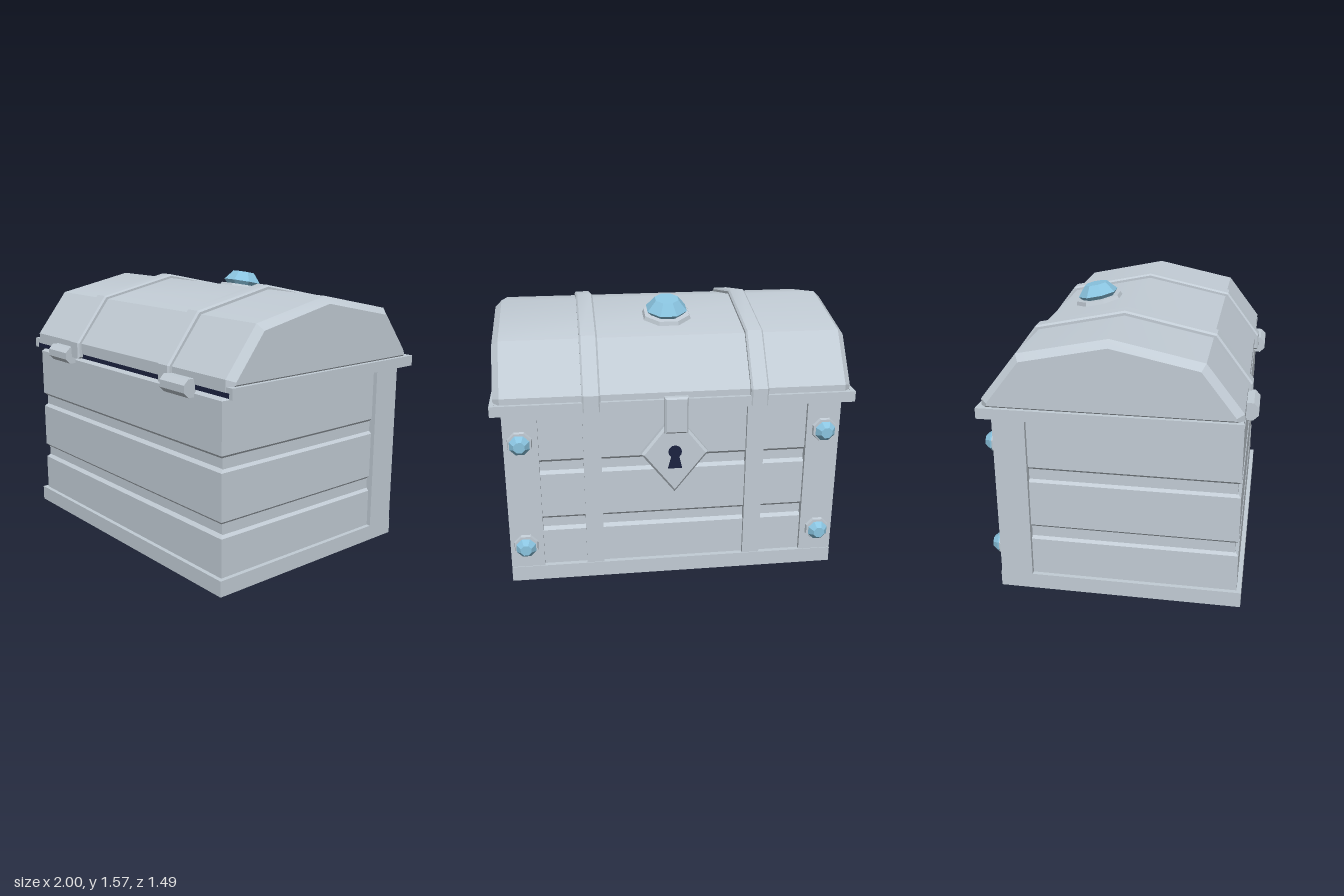
import * as THREE from 'three';
import { toCreasedNormals } from 'three/addons/utils/BufferGeometryUtils.js';

export function createModel() {
  const model = new THREE.Group();
  model.name = 'chest';
  const mat = (name, color) => {
    const m = new THREE.MeshStandardMaterial({ color });
    m.name = name;
    return m;
  };
  const steel = mat('pale steel', 0xc2ccd5);
  const blue = mat('gem blue', 0x8ac4e0);
  const dark = mat('dark navy', 0x1b2240);

  const add = (name, geo, material = steel, parent = model) => {
    const mesh = new THREE.Mesh(toCreasedNormals(geo, 0.45), material);
    mesh.name = name;
    parent.add(mesh);
    return mesh;
  };
  // Box given by its limits on each axis
  const box = (name, x0, x1, y0, y1, z0, z1, material) => {
    const g = new THREE.BoxGeometry(x1 - x0, y1 - y0, z1 - z0);
    g.translate((x0 + x1) / 2, (y0 + y1) / 2, (z0 + z1) / 2);
    return add(name, g, material);
  };
  const polygon = (pts) => new THREE.Shape(pts.map(([x, y]) => new THREE.Vector2(x, y)));
  // Extrusion centred on its depth, with chamfered edges inside the outline
  const slab = (pts, depth, size, thick = size) => {
    const g = new THREE.ExtrudeGeometry(polygon(pts), {
      depth: depth - 2 * thick, bevelEnabled: true, bevelSegments: 1,
      bevelSize: size, bevelThickness: thick, bevelOffset: -size,
    });
    return g.translate(0, 0, -(depth - 2 * thick) / 2);
  };

  // Body: base, core and three chamfered plank courses
  box('base', -0.945, 0.945, 0, 0.09, -0.665, 0.70);
  box('bodyCore', -0.905, 0.905, 0.08, 1.05, -0.62, 0.657);
  for (const [y0, y1] of [[0.07, 0.325], [0.38, 0.68], [0.735, 1.055]]) {
    const g = slab([[-0.92, -0.675], [0.92, -0.675], [0.92, 0.638], [-0.92, 0.638]], y1 - y0, 0.018);
    g.rotateX(-Math.PI / 2).translate(0, (y0 + y1) / 2, 0);
    add('plankCourse', g);
  }

  // Gem on an octagonal setting, its axis along +y
  const jewel = (name, ringR, ringH, profile) => {
    const group = new THREE.Group();
    group.name = name;
    const ring = new THREE.CylinderGeometry(ringR * 0.94, ringR, ringH, 8);
    add('setting', ring.rotateY(Math.PI / 8).translate(0, ringH / 2, 0), steel, group);
    const gem = new THREE.LatheGeometry(profile.map(([r, y]) => new THREE.Vector2(r, y)), 8);
    add('gem', gem.rotateY(Math.PI / 8), blue, group);
    model.add(group);
    return group;
  };

  for (const s of [-1, 1]) {
    // Corner posts and upright straps on the back
    const [a, b] = s < 0 ? [-0.945, -0.755] : [0.755, 0.945];
    box('cornerPost', a, b, 0.09, 1.055, -0.66, -0.48);
    box('uprightStrap', s * 0.46 - 0.05, s * 0.46 + 0.05, 0.09, 1.055, -0.66, -0.6);
    for (const y of [0.23, 0.87]) {
      const j = jewel('cornerJewel', 0.073, 0.018,
        [[0.045, 0.01], [0.06, 0.03], [0.033, 0.063], [0, 0.063]]);
      j.rotation.x = -Math.PI / 2;
      j.position.set(s * 0.855, y, -0.66);
    }
    // Side lip of the lid
    const [c, d] = s < 0 ? [-1, -0.975] : [0.975, 1];
    box('lidSideLip', c, d, 1.055, 1.115, -0.725, 0.675);
    box('lidSideLedge', s < 0 ? -0.99 : 0.93, s < 0 ? -0.93 : 0.99, 1.085, 1.114, -0.71, 0.672);
    // Hinge knuckle
    const h = new THREE.CylinderGeometry(0.053, 0.053, 0.21, 8);
    h.rotateY(Math.PI / 8).rotateZ(Math.PI / 2).translate(s * 0.595, 1.067, 0.692);
    add('hinge', h);
  }

  // Lid: faceted barrel with chamfered ends
  const arch = (half, sh, shY, topY, lowY, bottom) => [
    [half, bottom], [half, lowY], [sh, shY], [0, topY], [-sh, shY], [-half, lowY], [-half, bottom],
  ].map(([z, y]) => [z - 0.016, y]);
  add('lid', slab(arch(0.69, 0.49, 1.408, 1.51, 1.15, 1.085), 1.965, 0.038)
    .rotateY(-Math.PI / 2));
  box('lidUnderside', -0.974, 0.974, 1.057, 1.089, -0.702, 0.668, dark);
  box('lidBackLip', -0.975, 0.975, 1.055, 1.115, -0.725, -0.703);
  for (const s of [-1, 1]) {
    const g = slab(arch(0.715, 0.508, 1.428, 1.535, 1.155, 1.058), 0.1, 0.01);
    add('lidStrap', g.rotateY(-Math.PI / 2).translate(s * 0.46, 0, 0));
  }

  // Large gem on the back slope of the lid
  const crown = jewel('lidJewel', 0.145, 0.022,
    [[0.09, 0.01], [0.122, 0.045], [0.07, 0.105], [0, 0.105]]);
  crown.position.set(0, 1.458, -0.265);
  crown.rotation.x = -0.2;

  // Lock: diamond plate, keyhole and hasp
  add('lockPlate', slab([[0, 0.53], [0.19, 0.77], [0, 1.01], [-0.19, 0.77]], 0.06, 0.014)
    .translate(0, 0, -0.652));
  const hole = new THREE.Shape();
  hole.moveTo(-0.04, 0.685);
  hole.lineTo(0.04, 0.685);
  hole.lineTo(0.022, 0.755);
  hole.absarc(0, 0.785, 0.038, -0.9, Math.PI + 0.9, false);
  hole.closePath();
  const keyhole = new THREE.ExtrudeGeometry(hole, { depth: 0.007, bevelEnabled: false, curveSegments: 5 });
  add('keyhole', keyhole.translate(0, 0, -0.688), dark);
  add('hasp', slab([[-0.065, 0.92], [0.065, 0.92], [0.065, 1.13], [-0.065, 1.13]], 0.045, 0.01)
    .translate(0, 0, -0.7225));

  return model;
}
